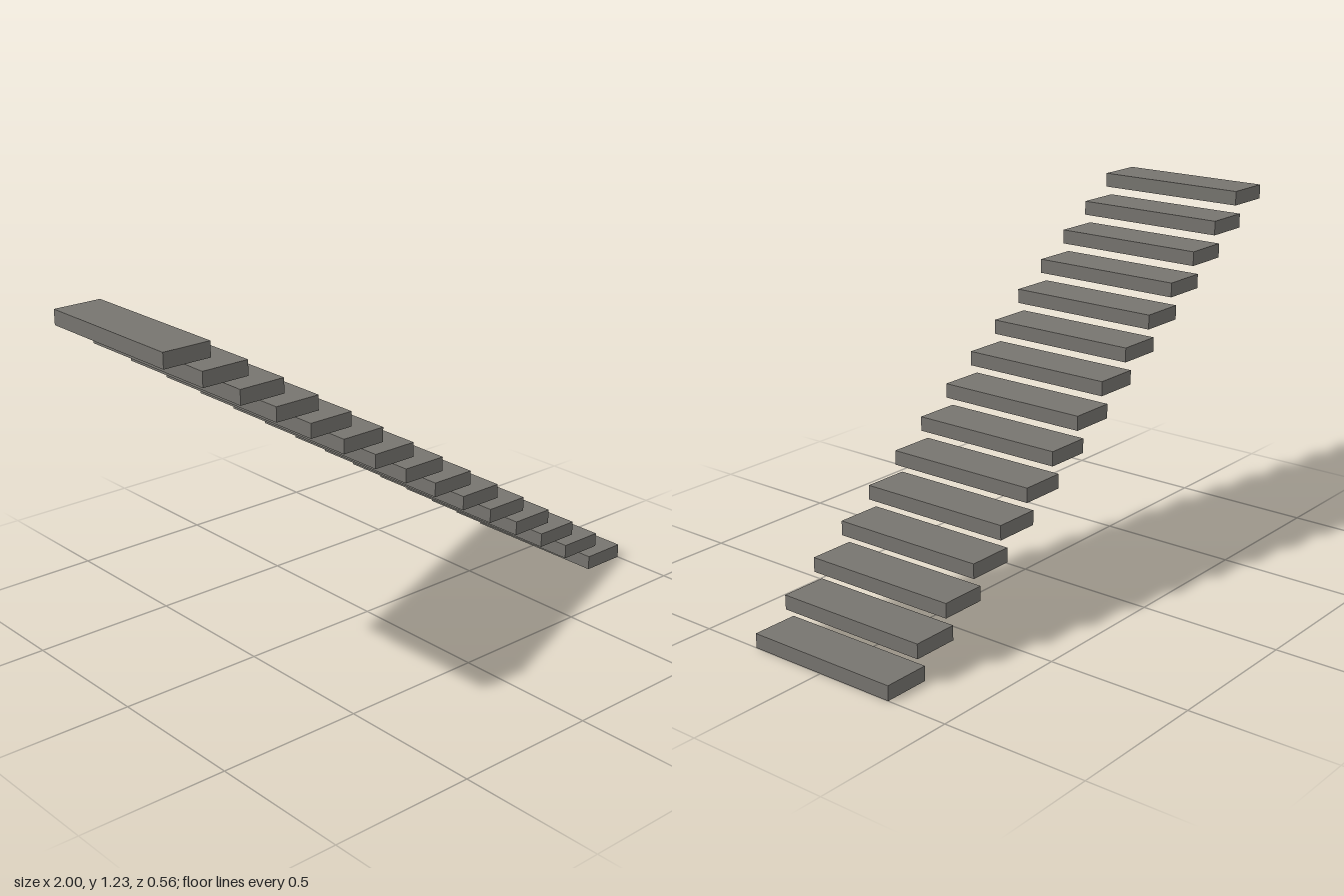
import * as THREE from 'three';

const STEPS = 15;
const TREAD = { width: 0.163, height: 0.05, depth: 0.56 };
const TOTAL = { length: 2, height: 1.23 };

export function createModel() {
  const group = new THREE.Group();
  group.name = 'floatingStaircase';

  const stone = new THREE.MeshStandardMaterial({ color: 0x777570 });
  stone.name = 'grey stone';

  // Equal floating treads, climbing from +x to -x
  const geometry = new THREE.BoxGeometry(TREAD.width, TREAD.height, TREAD.depth);
  const run = (TOTAL.length - TREAD.width) / (STEPS - 1);
  const rise = (TOTAL.height - TREAD.height) / (STEPS - 1);

  for (let i = 0; i < STEPS; i++) {
    const tread = new THREE.Mesh(geometry, stone);
    tread.name = `tread${i + 1}`;
    tread.position.set(
      (TOTAL.length - TREAD.width) / 2 - i * run,
      TREAD.height / 2 + i * rise,
      0
    );
    group.add(tread);
  }
  return group;
}
